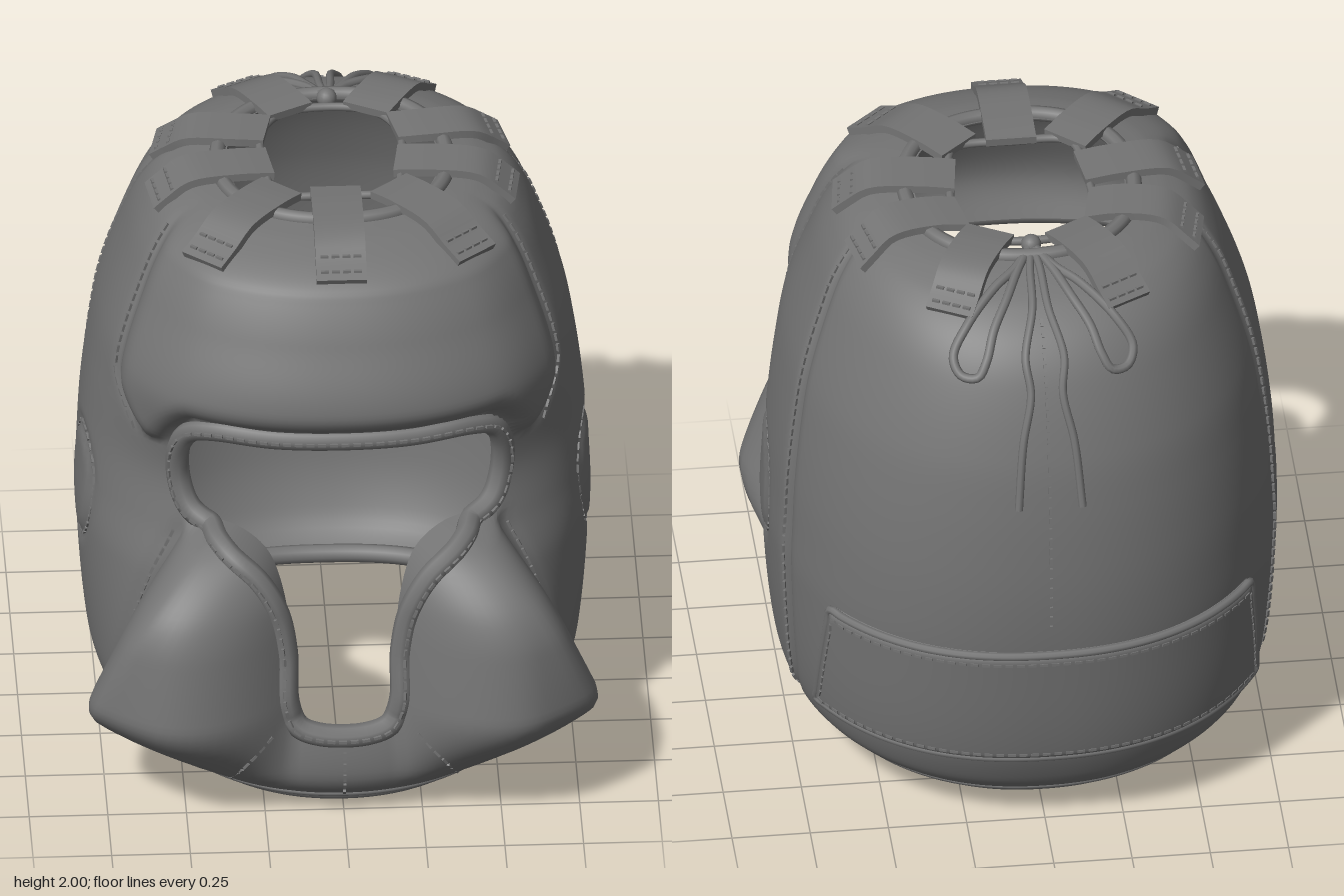
import * as THREE from 'three';
import { mergeGeometries, toCreasedNormals } from 'three/addons/utils/BufferGeometryUtils.js';

const V = (x, y, z) => new THREE.Vector3(x, y, z);
const rad = THREE.MathUtils.degToRad;
const step = (x, a, b) => THREE.MathUtils.smoothstep(x, a, b);
const clamp = THREE.MathUtils.clamp;
const puff = t => Math.sqrt(1 - (1 - clamp(t, 0, 1)) ** 2);
const swell = t => Math.sin(clamp(t, 0, 1) * Math.PI / 2);
const leather = new THREE.MeshStandardMaterial({ color: 0x747474, side: THREE.DoubleSide });

// Head profile rows: height, half width, front depth, back depth
const ROWS = [
  [0, .64, .70, .69], [.06, .71, .785, .76], [.15, .76, .825, .81], [.35, .79, .805, .87],
  [.75, .815, .72, .92], [.93, .81, .65, .93], [1.1, .80, .62, .925], [1.3, .775, .68, .905],
  [1.48, .74, .735, .87], [1.7, .665, .66, .79], [1.82, .61, .60, .71], [1.9, .545, .54, .60],
  [1.94, .46, .46, .49], [1.955, .38, .38, .42]];
const TOP = 1.955;

// Smooth interpolation of one profile column
function profile(y, k) {
  const n = ROWS.length;
  let i = 0;
  while (i < n - 2 && y > ROWS[i + 1][0]) i++;
  const slope = j => {
    const p = ROWS[Math.max(j - 1, 0)], q = ROWS[Math.min(j + 1, n - 1)];
    return (q[k] - p[k]) / (q[0] - p[0]);
  };
  const A = ROWS[i], B = ROWS[i + 1], h = B[0] - A[0], t = (y - A[0]) / h, t2 = t * t, t3 = t2 * t;
  return (2 * t3 - 3 * t2 + 1) * A[k] + (t3 - 2 * t2 + t) * h * slope(i)
    + (3 * t2 - 2 * t3) * B[k] + (t3 - t2) * h * slope(i + 1);
}

// Panel seams in degrees from the front
const cheekSeam = y => 43 + 18 * clamp((.93 - y) / .73, 0, 1);
const foreheadSeam = y => 55 + 9 * step(y, 1.2, 1.42);
const backSeam = y => 109 + 4 * Math.sin(clamp(y / 1.9, 0, 1) * Math.PI);
const frontSeam = y => y < .93 ? cheekSeam(y) : y > 1.2 ? foreheadSeam(y) : 43 + 12 * (y - .93) / .27;

// Padding, seams and ear patch as a radial offset
function padding(phi, y) {
  const d = Math.abs(Math.atan2(Math.sin(phi), Math.cos(phi))) * 180 / Math.PI;
  const groove = (c, w) => Math.exp(-(((d - c) / w) ** 2));
  const low = 1.385 - .16 * step(d, 36, 52);
  let o = .075 * (1 - .45 * step(d, 35, 62)) * swell((foreheadSeam(y) - d) / 9)
    * puff((y - low) / .1) * step(1.96 - y, 0, .12);
  o += .3 * swell((cheekSeam(y) - d) / 12) * swell((d - 12) / 22) * puff((.96 - y) / .32) * step(y, .02, .42);
  o -= .018 * groove(backSeam(y), 1.8) * step(1.95 - y, 0, .1);
  o -= .012 * groove(cheekSeam(y) + 1, 2.2) * step(.98 - y, 0, .1);
  o -= .012 * groove(foreheadSeam(y) + .5, 2.2) * step(y, 1.2, 1.32) * step(1.95 - y, 0, .1);
  const e = Math.hypot((d - 85 + (y - .85) * 8) / 11.5, (y - .85) / .2);
  return o + .004 * puff((1 - e) / .4) - .012 * Math.exp(-(((e - 1) / .11) ** 2));
}

function radius(phi, y, padded = true) {
  const s = Math.abs(Math.sin(phi)) / profile(y, 1);
  const c = Math.abs(Math.cos(phi)) / profile(y, Math.cos(phi) > 0 ? 2 : 3);
  return (s ** 2.25 + c ** 2.25) ** (-1 / 2.25) + (padded ? padding(phi, y) : 0);
}

// Point on the shell, lifted outward by off
function surf(phi, y, off = 0, padded = true) {
  const r = radius(phi, y, padded) + off, s2 = Math.sin(phi) ** 2;
  const hem = .15 * s2 + (Math.cos(phi) > 0 ? .03 : .09) * (1 - s2);
  return V(r * Math.sin(phi), y + hem * Math.max(0, 1 - y / .6) ** 2, r * Math.cos(phi));
}

// Angle at which the shell reaches a given x
function angleAt(x, y) {
  let p = 0;
  for (let i = 0; i < 30; i++) p = (p + Math.asin(clamp(x / radius(p, y), -1, 1))) / 2;
  return p;
}

// Indexed grid surface; keep() can drop cells
function sheet(rows, cols, point, wrap = false, keep = null) {
  const pos = [], idx = [], w = wrap ? cols : cols + 1;
  for (let i = 0; i <= rows; i++) for (let j = 0; j < w; j++) pos.push(...point(i, j).toArray());
  for (let i = 0; i < rows; i++) for (let j = 0; j < cols; j++) {
    const k = (j + 1) % w, a = i * w + j, b = i * w + k, c = a + w, d = b + w;
    if (!keep || keep(a, b, c, d)) idx.push(a, b, d, a, d, c);
  }
  const g = new THREE.BufferGeometry();
  g.setAttribute('position', new THREE.Float32BufferAttribute(pos, 3));
  g.setIndex(idx);
  g.computeVertexNormals();
  return g;
}

const tube = (pts, r, closed = false, seg = 160) =>
  new THREE.TubeGeometry(new THREE.CatmullRomCurve3(pts, closed), seg, r, 8, closed);

// Row of small dashes along a path
function stitches(pts, closed = false) {
  const curve = new THREE.CatmullRomCurve3(pts, closed);
  const n = Math.round(curve.getLength() / .037), o = new THREE.Object3D(), out = [];
  for (let i = 0; i < n; i++) {
    const t = (i + .5) / n;
    o.position.copy(curve.getPointAt(t));
    o.lookAt(o.position.clone().add(curve.getTangentAt(t)));
    o.updateMatrix();
    out.push(new THREE.BoxGeometry(.009, .009, .025).applyMatrix4(o.matrix));
  }
  return mergeGeometries(out);
}

export function createModel() {
  const group = new THREE.Group();
  const add = (name, geo) => {
    const m = new THREE.Mesh(geo, leather);
    m.name = name;
    group.add(m);
    return m;
  };

  // Face opening outline in angle and height
  const half = [[.2, 1.335], [.4, 1.335], [.48, 1.305], [.515, 1.23], [.515, 1.09], [.48, 1.0], [.38, .94],
    [.28, .865], [.215, .75], [.185, .6], [.18, .42], [.15, .335], [.08, .305]];
  const flat = [...half, ...half.map(([x, y]) => [-x, y]).reverse()].map(([x, y]) => V(x, y, 0));
  const outline = new THREE.CatmullRomCurve3(flat, true).getSpacedPoints(160).slice(0, 160)
    .map(p => [angleAt(p.x, p.y), p.y]);
  const inside = (p, y) => {
    let hit = false;
    outline.forEach(([a, b], i) => {
      const [c, d] = outline[(i + 159) % 160];
      if ((b > y) !== (d > y) && p < (c - a) * (y - b) / (d - b) + a) hit = !hit;
    });
    return hit;
  };

  // Padded shell and lining: columns follow the seams, cells snap to the opening
  const R = 110, C = 216, cells = [];
  const column = (j, y) => {
    const k = Math.abs(j - C / 2), f = frontSeam(y), b = backSeam(y);
    const d = k < 31 ? f * k / 31 : k < 63 ? f + (b - f) * (k - 31) / 32 : b + (180 - b) * (k - 63) / 45;
    return Math.sign(j - C / 2) * rad(d);
  };
  for (let i = 0; i <= R; i++) for (let j = 0; j < C; j++) {
    const y = TOP * (1 - (1 - i / R) ** 1.5), p = column(j, y);
    let cell = [p, y, false];
    if (Math.abs(p) < 1.2 && y > .25 && y < 1.4 && inside(p, y)) {
      let best = 1e9;
      for (const [a, b] of outline) {
        const d = ((a - p) * .75) ** 2 + (b - y) ** 2;
        if (d < best) { best = d; cell = [a, b, true]; }
      }
    }
    cells.push(cell);
  }
  const keep = (...q) => !q.every(k => cells[k][2]);
  const shell = (off, padded) => sheet(R, C, (i, j) => {
    const [p, y] = cells[i * C + j];
    return surf(p, y, off, padded);
  }, true, keep);
  add('paddedShell', shell(0, true));
  add('lining', shell(-.045, false));
  add('openingWall', sheet(1, 160, (i, j) => surf(...outline[j], i ? -.045 : 0, !i), true));

  // Bound edges
  const ring = (y, off) => Array.from({ length: 72 }, (_, i) => surf(i / 36 * Math.PI, y, off));
  add('openingTrim', tube(outline.map(([p, y]) => surf(p, y, -.005)), .038, true, 240));
  add('openingStitching', stitches(outline.map(([p, y]) => surf(p, y, .035)), true));
  add('bottomTrim', tube(ring(0, -.02), .03, true));
  add('bottomPiping', tube(ring(.035, -.004), .012, true));
  add('crownTrim', tube(ring(TOP, -.015), .025, true));

  // Panel seams, given as degrees and height
  const seam = (name, list) => [1, -1].forEach(s =>
    add(name, stitches(list.map(([d, y]) => surf(s * rad(d), y, .004)))));
  const heights = (a, b) => Array.from({ length: 16 }, (_, i) => a + (b - a) * i / 15);
  seam('foreheadSeam', heights(1.22, 1.88).map(y => [foreheadSeam(y) + 2.5, y]));
  seam('cheekSeam', heights(.92, .1).map(y => [cheekSeam(y) + 2, y]));
  seam('backSeam', heights(.06, 1.9).map(y => [backSeam(y) - 2, y]));
  seam('chinSeam', [[15, .33], [20, .22], [26, .08]]);
  seam('earSeam', Array.from({ length: 33 }, (_, i) => {
    const t = i / 16 * Math.PI, y = .85 + .2 * Math.sin(t);
    return [85 - (y - .85) * 8 + 11.5 * Math.cos(t), y];
  }));
  add('centreChinSeam', stitches(heights(.05, .25).map(y => surf(0, y, .003))));
  add('centreBackSeam', stitches(heights(.85, 1.88).map(y => surf(Math.PI, y, .003))));

  // Wide closing flap around the back
  const flapPoint = (u, v, off) => {
    const end = 56 - 8 * v;
    return surf(Math.PI + rad(end * (1 - 2 * u)), .3 + .48 * v, off);
  };
  add('backFlap', sheet(40, 100, (i, j) => {
    const u = j / 100, v = i / 40;
    const e = Math.min(Math.min(u, 1 - u) * 1.7, Math.min(v, 1 - v) * .5);
    return flapPoint(1 - u, v, -.01 + .04 * puff(e / .03));
  }));
  const border = (m, off) => {
    const pts = [], mu = m * .3;
    for (let i = 0; i < 30; i++) pts.push(flapPoint(mu + (1 - 2 * mu) * i / 29, 1 - m, off));
    for (let i = 1; i < 8; i++) pts.push(flapPoint(1 - mu, 1 - m - (1 - 2 * m) * i / 8, off));
    for (let i = 0; i < 30; i++) pts.push(flapPoint(1 - mu - (1 - 2 * mu) * i / 29, m, off));
    for (let i = 1; i < 8; i++) pts.push(flapPoint(mu, m + (1 - 2 * m) * i / 8, off));
    return pts;
  };
  add('flapEdge', tube(border(.02, .017), .014, true, 240));
  add('flapStitching', stitches(border(.08, .029), true));

  // Nine crown straps: inner end position and outer angle
  const strapList = [[0, .2, 0], [.17, .185, 42], [.2, .03, 82], [.2, -.17, 114], [.12, -.28, 154]];
  const cord = [];
  for (const s of [1, -1]) for (const [x, z, deg] of strapList) {
    if (s < 0 && deg === 0) continue;
    const a = s * rad(deg), start = V(s * x, 1.965, z);
    cord.push(V(s * x * 1.08, 1.955, z * 1.08));
    const path = new THREE.CatmullRomCurve3([start, start.clone().lerp(surf(a, 1.95), .55).setY(1.972),
      surf(a, 1.94, .012).setY(1.962), surf(a, 1.915, .018), surf(a, 1.88, .014)]);
    const dir = surf(a, 1.88).sub(start).setY(0).normalize(), side = V(dir.z, 0, -dir.x);
    const corners = [[-.08, -1], [.08, -1], [.08, 1], [-.08, 1]];
    const at = (t, w, h) => {
      const up = path.getTangentAt(t).cross(side).normalize();
      return path.getPointAt(t).addScaledVector(side, w).addScaledVector(up, h);
    };
    const strap = sheet(17, 4, (i, j) => {
      const cap = i === 0 || i === 17 ? 0 : 1, t = clamp((i - 1) / 15, 0, 1);
      return at(t, corners[j][0] * cap, corners[j][1] * .013 * cap);
    }, true);
    add('crownStrap', toCreasedNormals(strap, .7));
    for (const t of [.8, .93]) add('strapStitching', stitches([at(t, -.07, .014), at(t, 0, .014), at(t, .07, .014)]));
  }
  cord.sort((p, q) => Math.atan2(p.x, p.z + .05) - Math.atan2(q.x, q.z + .05));
  add('crownCord', tube(cord, .014, true));

  // Tied lace: knot, two bows and hanging tails
  const onBack = (x, y) => {
    let p = 0;
    for (let i = 0; i < 20; i++) p = Math.asin(x / radius(Math.PI - p, y));
    return surf(Math.PI - p, y, .018);
  };
  const knot = V(0, 1.968, -.36);
  add('laceKnot', new THREE.SphereGeometry(.032, 16, 12)).position.copy(knot);
  const bow = [[.05, 1.95], [.1, 1.915], [.15, 1.86], [.18, 1.79], [.21, 1.745], [.26, 1.745],
    [.28, 1.79], [.23, 1.865], [.13, 1.93], [.06, 1.95]];
  const tail = [[.015, 1.95], [.025, 1.9], [.06, 1.8], [.05, 1.7], [.08, 1.55], [.1, 1.33]];
  for (const s of [1, -1]) {
    add('laceBow', tube([knot, ...bow.map(([x, y]) => onBack(s * x, y)), knot], .015, false, 80));
    add('laceTail', tube([knot, ...tail.map(([x, y]) => onBack(s * x, y))], .013, false, 80));
  }
  return group;
}
